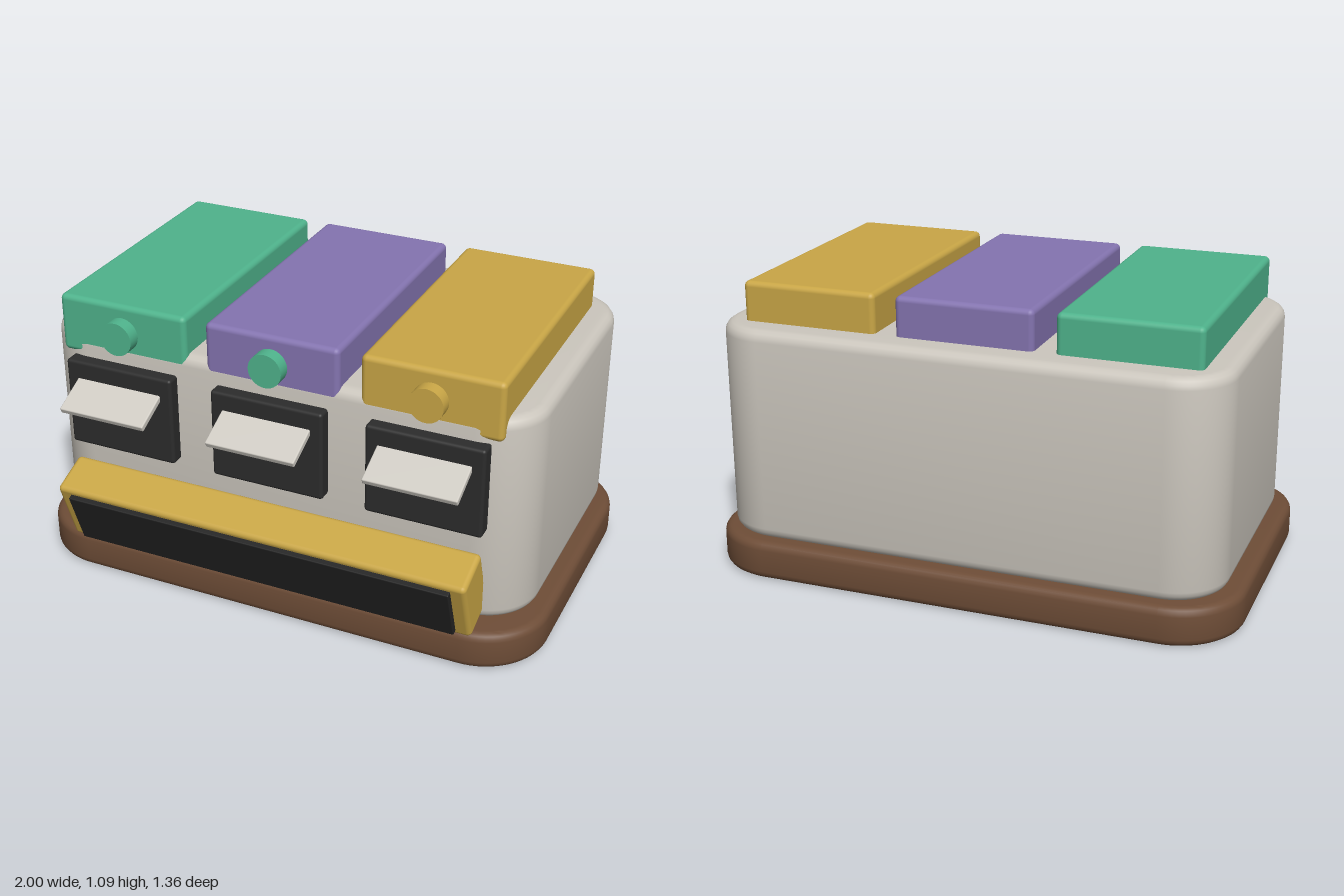
import * as THREE from 'three';
import { toCreasedNormals } from 'three/addons/utils/BufferGeometryUtils.js';
import { RoundedBoxGeometry } from 'three/addons/geometries/RoundedBoxGeometry.js';

const paint = (name, color) => {
  const m = new THREE.MeshStandardMaterial({ color });
  m.name = name;
  return m;
};

// Slab with rounded plan corners (radius r) and rolled top and bottom edges (bevel b)
function slabGeometry(w, h, d, r, b) {
  const x = w / 2 - b, y = d / 2 - b, q = r - b;
  const s = new THREE.Shape();
  s.absarc(x - q, y - q, q, 0, Math.PI / 2);
  s.absarc(-x + q, y - q, q, Math.PI / 2, Math.PI);
  s.absarc(-x + q, -y + q, q, Math.PI, Math.PI * 1.5);
  s.absarc(x - q, -y + q, q, Math.PI * 1.5, Math.PI * 2);
  s.closePath();
  const g = new THREE.ExtrudeGeometry(s, {
    depth: h - 2 * b, bevelEnabled: true, bevelSize: b, bevelThickness: b,
    bevelSegments: 4, curveSegments: 8,
  });
  g.rotateX(-Math.PI / 2).translate(0, b, 0);
  return toCreasedNormals(g, 0.6);
}

export function createModel() {
  const group = new THREE.Group();
  group.name = 'cabinet';

  const shell = paint('warm grey', 0xcbc6bd);
  const wood = paint('brown', 0x6e4d37);
  const green = paint('green', 0x4fb38c);
  const purple = paint('purple', 0x8474b0);
  const gold = paint('gold', 0xc9a646);
  const black = paint('black', 0x2c2c2c);
  const dark = paint('dark screen', 0x242424);
  const flapGrey = paint('pale grey', 0xd0ccc4);

  const add = (name, geometry, material, x, y, z, parent = group) => {
    const m = new THREE.Mesh(geometry, material);
    m.name = name;
    m.position.set(x, y, z);
    parent.add(m);
    return m;
  };
  const box = (w, h, d, r) => new RoundedBoxGeometry(w, h, d, 3, r);

  // Base and main housing
  add('base', slabGeometry(2, 0.145, 1.255, 0.25, 0.03), wood, 0, 0, -0.0525);
  add('housing', slabGeometry(1.885, 0.795, 1.136, 0.2, 0.04), shell, 0, 0.15, -0.082);

  // Three bays: lid, knob, dark recess plate and tilted flap
  const bays = [
    { x: -0.588, lid: green, knob: green },
    { x: 0, lid: purple, knob: green },
    { x: 0.588, lid: gold, knob: gold },
  ];
  for (const { x, lid, knob } of bays) {
    add('lid', box(0.51, 0.22, 1.02, 0.02), lid, x, 0.98, -0.025);
    const k = add('knob', new THREE.CylinderGeometry(0.063, 0.063, 0.07, 32), knob, x, 0.98, 0.5);
    k.rotation.x = Math.PI / 2;
    add('slotPlate', box(0.43, 0.34, 0.065, 0.012), black, x, 0.69, 0.5025);
    const f = add('flap', box(0.34, 0.024, 0.18, 0.005), flapGrey, x, 0.758, 0.581);
    f.rotation.x = THREE.MathUtils.degToRad(25);
  }

  // Tilted front console with its dark screen
  const console_ = new THREE.Group();
  console_.name = 'frontConsole';
  console_.position.set(0, 0.294, 0.545);
  console_.rotation.x = THREE.MathUtils.degToRad(20);
  group.add(console_);
  add('consoleBody', box(1.6, 0.27, 0.17, 0.018), gold, 0, 0, 0, console_);
  add('consoleScreen', box(1.49, 0.225, 0.03, 0.004), dark, 0, 0, 0.09, console_);

  return group;
}
